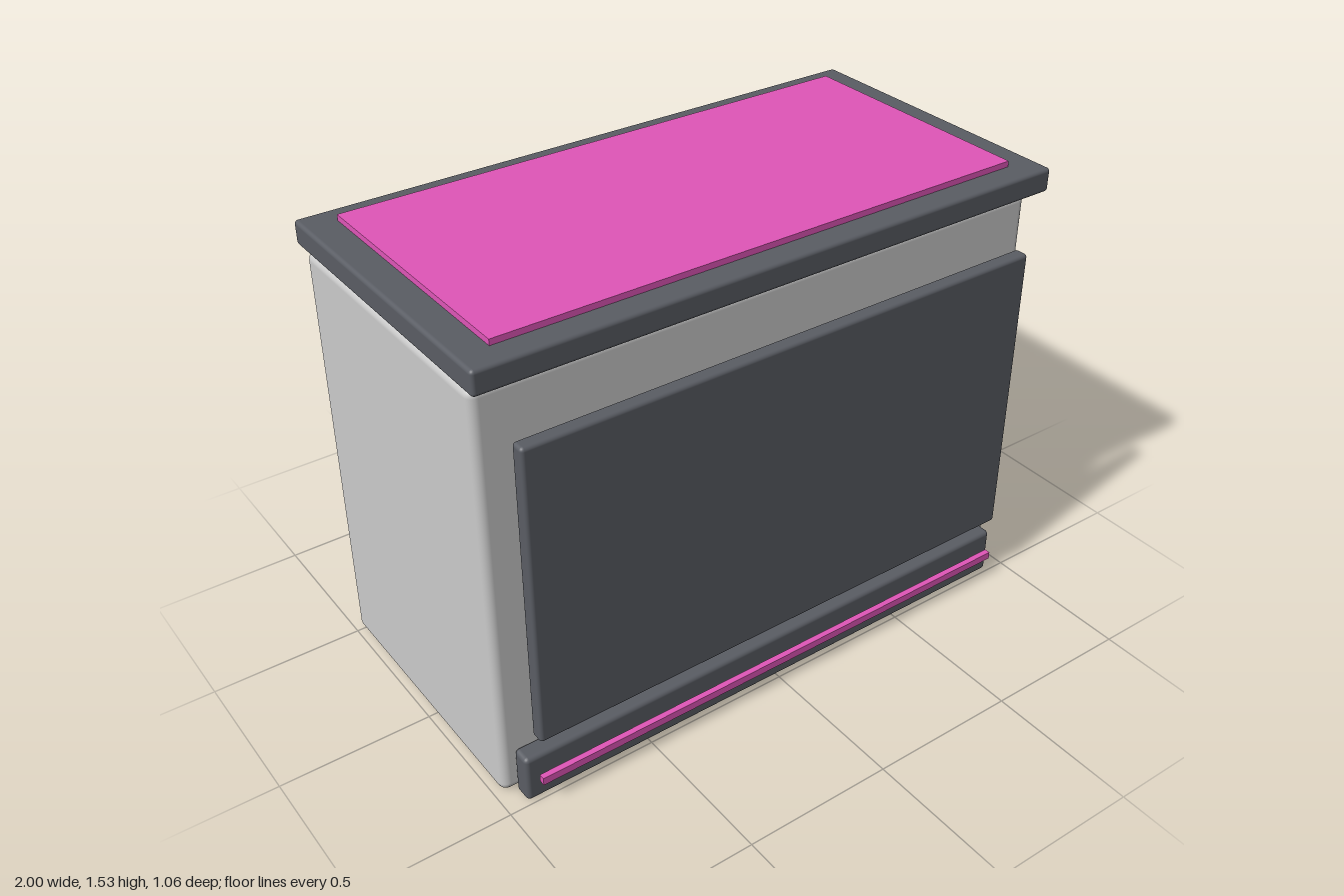
import * as THREE from 'three';
import { RoundedBoxGeometry } from 'three/addons/geometries/RoundedBoxGeometry.js';

const shell = new THREE.MeshStandardMaterial({ color: 0xcccccc });
const dark = new THREE.MeshStandardMaterial({ color: 0x5a5d64 });
const pink = new THREE.MeshStandardMaterial({ color: 0xe056b8 });

// Box given by its [min, max] extents; a radius rounds its edges
function addBox(group, name, material, [x0, x1], [y0, y1], [z0, z1], radius = 0) {
  const size = [x1 - x0, y1 - y0, z1 - z0];
  const geometry = radius
    ? new RoundedBoxGeometry(...size, 3, radius)
    : new THREE.BoxGeometry(...size);
  const mesh = new THREE.Mesh(geometry, material);
  mesh.name = name;
  mesh.position.set((x0 + x1) / 2, (y0 + y1) / 2, (z0 + z1) / 2);
  group.add(mesh);
}

export function createModel() {
  const model = new THREE.Group();
  model.name = 'counterCabinet';

  // Main cabinet
  addBox(model, 'cabinetBody', shell, [-0.98, 0.98], [0.003, 1.412], [-0.527, 0.422], 0.03);

  // Front: floating panel, plinth and light strip
  addBox(model, 'frontPanel', dark, [-0.9, 0.9], [0.25, 1.266], [0.481, 0.529], 0.012);
  addBox(model, 'plinth', dark, [-0.933, 0.933], [0, 0.164], [0.422, 0.488], 0.015);
  addBox(model, 'lightStrip', pink, [-0.9, 0.9], [0.085, 0.111], [0.509, 0.529]);

  // Top: overhanging slab, raised above the body, with an inlay
  addBox(model, 'counterTop', dark, [-1, 1], [1.432, 1.51], [-0.529, 0.488], 0.012);
  addBox(model, 'topInlay', pink, [-0.9, 0.9], [1.508, 1.529], [-0.449, 0.406]);

  return model;
}
